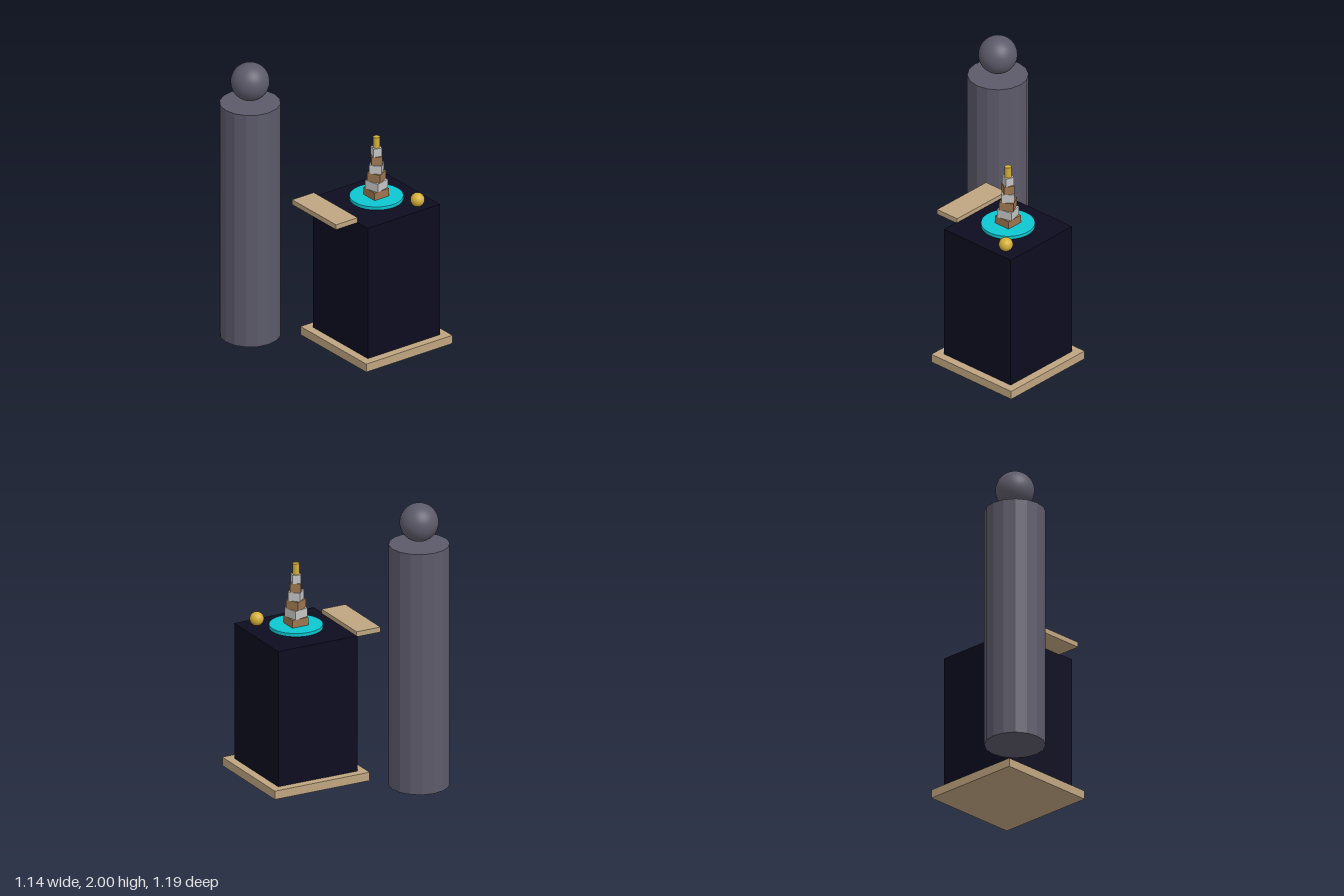
import * as THREE from 'three';

const mat = (name, color, flatShading = false) => {
  const m = new THREE.MeshStandardMaterial({ color });
  m.name = name;
  m.flatShading = flatShading;
  return m;
};

export function createModel() {
  const model = new THREE.Group();
  model.name = 'pedestalDisplay';

  const grey = mat('slate grey', 0x5c5a69);
  const tan = mat('tan wood', 0xbfa580);
  const navy = mat('midnight navy', 0x0c0c20);
  const cyan = mat('turquoise', 0x0dc6d0);
  const gold = mat('gold', 0xd4af37);
  const brown = mat('brown block', 0x9c7650);
  const silver = mat('silver block', 0xc4c4c4);

  const add = (name, geometry, material, x, y, z, parent = model) => {
    const mesh = new THREE.Mesh(geometry, material);
    mesh.name = name;
    mesh.position.set(x, y, z);
    parent.add(mesh);
    return mesh;
  };

  // Standing figure: faceted column body with a floating round head
  const body = new THREE.CylinderGeometry(0.205, 0.205, 1.715, 16).toNonIndexed();
  body.computeVertexNormals();
  add('figureBody', body, grey, -0.367, 0.8575, 0.387);
  add('figureHead', new THREE.SphereGeometry(0.131, 32, 24), grey, -0.367, 1.869, 0.387);

  // Pedestal on its plinth, with a ledge at the front edge
  const cx = 0.207, cz = -0.233;
  add('plinth', new THREE.BoxGeometry(0.722, 0.06, 0.722), tan, cx, 0.03, cz);
  add('pedestal', new THREE.BoxGeometry(0.604, 0.965, 0.604), navy, cx, 0.5425, cz);
  add('frontLedge', new THREE.BoxGeometry(0.482, 0.036, 0.181), tan, 0.146, 1.037, 0.152);

  // Round plate, hovering just above the pedestal
  add('plate', new THREE.CylinderGeometry(0.18, 0.18, 0.024, 48), cyan, cx, 1.053, cz);

  // Twisting, tapering tower of blocks
  const tower = new THREE.Group();
  tower.name = 'tower';
  tower.position.set(cx, 1.06, cz);
  model.add(tower);
  const step = 0.0605;
  for (let i = 0; i < 6; i++) {
    const size = 0.121 - i * 0.0121;
    const block = add('towerBlock' + (i + 1), new THREE.BoxGeometry(size, step, size),
      i % 2 ? silver : brown, 0, (i + 0.5) * step, 0, tower);
    block.rotation.y = i * 0.25;
  }
  add('towerCap', new THREE.CylinderGeometry(0.023, 0.023, 0.076, 16), gold, 0, 0.401, 0, tower);

  // Gold ball on the back corner
  add('goldBall', new THREE.SphereGeometry(0.048, 24, 16), gold, 0.423, 1.063, -0.412);

  return model;
}
